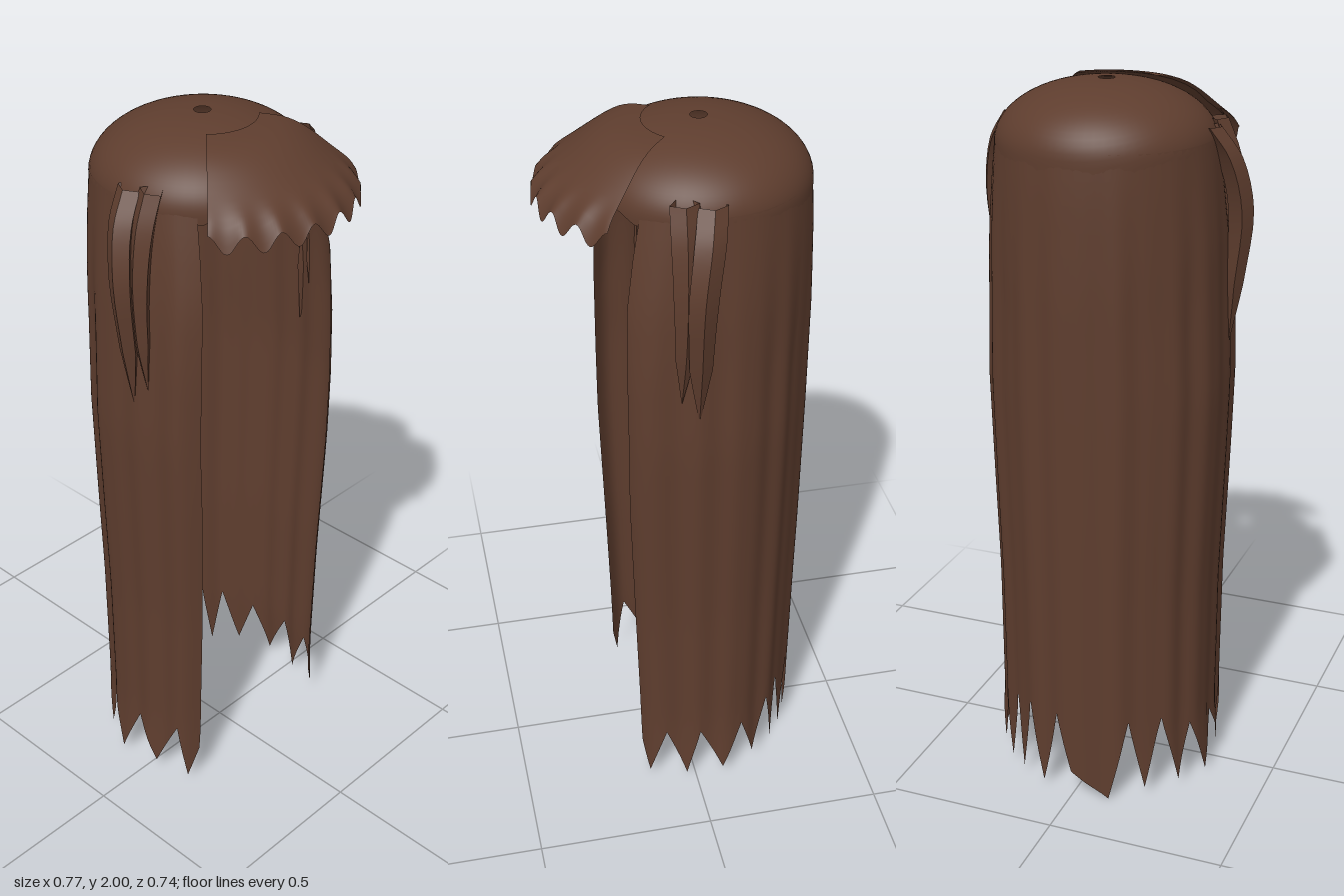
import * as THREE from 'three';
import { toCreasedNormals } from 'three/addons/utils/BufferGeometryUtils.js';

const RAD = Math.PI / 180;
const CZ = -0.06; // centre of the head in z

// Linear lookup in a list of [key, value] pairs with rising keys
function lookup(table, k) {
  if (k <= table[0][0]) return table[0][1];
  for (let i = 1; i < table.length; i++) {
    const [k0, v0] = table[i - 1], [k1, v1] = table[i];
    if (k <= k1) return v0 + (v1 - v0) * (k - k0) / (k1 - k0);
  }
  return table[table.length - 1][1];
}

// Sheet of quads through fn(u, v); us and vs are lists of parameters
function sheet(us, vs, fn) {
  const pos = [], index = [], n = us.length;
  for (const v of vs) for (const u of us) pos.push(...fn(u, v));
  for (let j = 0; j < vs.length - 1; j++) {
    for (let i = 0; i < n - 1; i++) {
      const a = j * n + i, b = a + 1, c = a + n, d = c + 1;
      index.push(a, c, b, b, c, d);
    }
  }
  const g = new THREE.BufferGeometry();
  g.setAttribute('position', new THREE.Float32BufferAttribute(pos, 3));
  g.setIndex(index);
  g.computeVertexNormals();
  return g;
}

const range = (a, b, n) => Array.from({ length: n + 1 }, (_, i) => a + (b - a) * i / n);

// Dome with a small crown hole and a rim that drops towards the back
function capGeometry() {
  return sheet(range(0, 360, 72), range(0, 1, 28), (deg, t) => {
    const a = deg * RAD, c = Math.cos(a);
    const rim = Math.min(1.57 + 0.29 * (1 + c), 1.82 + Math.max(0, c - 0.7) * 0.22);
    const y = 2 - (2 - rim) * t * t;
    const h = Math.max(0, (y - 1.84) / 0.16);
    const r = 0.022 + 0.271 * Math.sqrt(1 - h * h);
    return [r * Math.sin(a), y, CZ + r * c];
  });
}

// Ragged lower edge of the curtain: [angle from the front, height]
const TIPS = [
  [48, 0.12], [53, 0.02], [63, 0.18], [73, 0.02], [81, 0.18], [94, 0.03], [106, 0.18],
  [116, 0.04], [126, 0.22], [134, 0.03], [139, 0.25], [147, 0.03], [154, 0.27], [163, 0.02],
  [172, 0.26], [180, 0.08], [199, 0.0], [211, 0.25], [219, 0.03], [230, 0.25], [240, 0.03],
  [250, 0.2], [262, 0.02], [275, 0.18], [288, 0.04], [300, 0.2], [307, 0.02], [312, 0.12],
];
const SIDE_R = [[0, 0.326], [0.2, 0.312], [0.6, 0.313], [0.9, 0.323], [1.2, 0.332], [1.6, 0.318], [1.75, 0.304], [1.86, 0.291]];
const BACK_R = [[0, 0.282], [0.3, 0.287], [0.8, 0.296], [1.5, 0.303], [1.75, 0.298], [1.86, 0.29]];
const FRONT_R = [[0, 0.3], [0.3, 0.31], [1, 0.342], [1.6, 0.342], [1.75, 0.315], [1.86, 0.285]];

// Long open-fronted curtain of hair with soft folds and front edges rolled inwards
function curtainGeometry() {
  const us = [TIPS[0][0]];
  for (let i = 1; i < TIPS.length; i++) us.push(...range(TIPS[i - 1][0], TIPS[i][0], 6).slice(1));
  return sheet(us, range(0, 1, 28), (deg, t) => {
    const a = deg * RAD, c = Math.cos(a);
    const y = 1.86 + (lookup(TIPS, deg) - 1.86) * t;
    const ramp = Math.min(1, t * 4);
    const fold = (0.004 * Math.cos(a * 14) + 0.002 * Math.sin(a * 23 + 1)) * ramp;
    const fromFront = Math.min(deg, 360 - deg);
    const roll = 0.085 * Math.exp(-(((fromFront - 58) / 9) ** 2));
    const flat = c < 0 ? 0.03 * Math.sin(2 * a) ** 2 : 0;
    const k = 1 + (roll - flat) * ramp;
    const rx = lookup(SIDE_R, y) * k + fold;
    const rz = lookup(c > 0 ? FRONT_R : BACK_R, y) * k + fold;
    return [rx * Math.sin(a), y, CZ + rz * c];
  });
}

// Fan-shaped fringe, flaring forward to a scalloped edge
function fringeGeometry() {
  const profile = new THREE.SplineCurve([[0.135, 1.993], [0.2, 1.983], [0.26, 1.957], [0.33, 1.908], [0.385, 1.868], [0.408, 1.838]]
    .map(p => new THREE.Vector2(...p)));
  return sheet(range(-45, 45, 96), range(0, 1, 16), (deg, t) => {
    const a = deg * RAD;
    const p = profile.getPoint(t);
    const wave = Math.cos(deg / 90 * 7 * 2 * Math.PI);
    const low = Math.max(0, (t - 0.6) / 0.4) ** 2;
    const r = p.x * (1 - 0.07 * t * (deg / 45) ** 2) + low * (0.009 + 0.003 * wave);
    const y = p.y - low * (0.02 + 0.022 * wave);
    return [r * Math.sin(a), y, -0.05 + r * Math.cos(a)];
  });
}

// Tapering lock on side s: an outer ridge, two edges and a root buried in the hair
function lockGeometry(s, path, widths) {
  const curve = new THREE.CatmullRomCurve3(path.map(p => new THREE.Vector3(...p)));
  const table = widths.map((w, i) => [i / (widths.length - 1), w]);
  const g = sheet(range(0, 4, 4), range(0, 1, 16), (u, t) => {
    const p = curve.getPoint(t), w = lookup(table, t);
    const a = u * Math.PI / 2, c = Math.cos(a);
    const out = c * (c > 0 ? 0.55 : 1.3) * w;
    return [s * (p.x + out), p.y, p.z - s * Math.sin(a) * w];
  });
  return toCreasedNormals(g, 0.6);
}

export function createModel() {
  const model = new THREE.Group();
  model.name = 'longHair';
  const brown = new THREE.MeshStandardMaterial({ color: 0x5e3d2e, side: THREE.DoubleSide });
  brown.name = 'brown hair';

  const add = (name, geometry, parent = model) => {
    const mesh = new THREE.Mesh(geometry, brown);
    mesh.name = name;
    parent.add(mesh);
  };

  add('cap', capGeometry());
  add('hairCurtain', curtainGeometry());
  add('fringe', fringeGeometry());

  // Temple locks, mirrored on both sides
  for (const [side, s] of [['left', 1], ['right', -1]]) {
    const group = new THREE.Group();
    group.name = side + 'TempleLocks';
    add('rearLock', lockGeometry(s,
      [[0.285, 1.89, -0.033], [0.336, 1.81, -0.015], [0.364, 1.67, 0.006], [0.345, 1.47, 0.007], [0.325, 1.3, 0.005]],
      [0.038, 0.04, 0.038, 0.03, 0.001]), group);
    add('frontLock', lockGeometry(s,
      [[0.28, 1.9, 0.037], [0.315, 1.81, 0.04], [0.335, 1.67, 0.042], [0.332, 1.5, 0.045], [0.318, 1.36, 0.05]],
      [0.037, 0.037, 0.033, 0.025, 0.001]), group);
    model.add(group);
  }
  return model;
}
